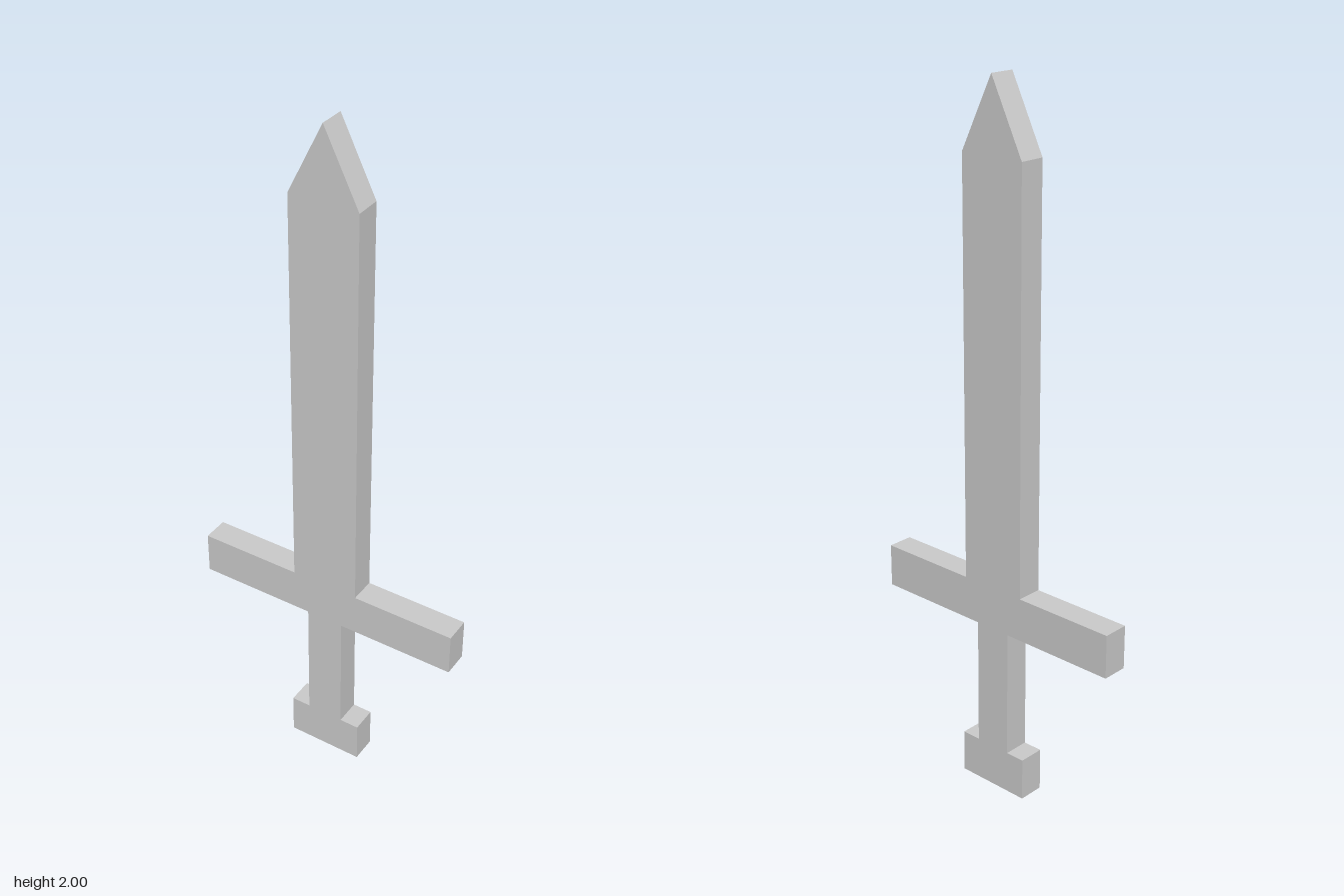
import * as THREE from 'three';

const DEPTH = 0.075;

// Right half of the silhouette, from the pommel's base up to the blade's shoulder
const HALF_OUTLINE = [
  [0.1125, 0], [0.1125, 0.125],   // pommel
  [0.055, 0.125], [0.055, 0.5],   // grip
  [0.4, 0.5], [0.4, 0.625],       // crossguard
  [0.1, 0.625], [0.1, 1.8],       // blade
];
const TIP = [0, 2];

export function createModel() {
  const model = new THREE.Group();
  model.name = 'sword';

  // Mirror the half outline about x = 0 and close it through the tip
  const mirrored = HALF_OUTLINE.map(([x, y]) => [-x, y]).reverse();
  const outline = [...HALF_OUTLINE, TIP, ...mirrored];
  const shape = new THREE.Shape(outline.map(([x, y]) => new THREE.Vector2(x, y)));

  // One flat slab, centred on its thickness
  const geometry = new THREE.ExtrudeGeometry(shape, { depth: DEPTH, bevelEnabled: false });
  geometry.translate(0, 0, -DEPTH / 2);

  const material = new THREE.MeshStandardMaterial({ color: 0xcccccc, flatShading: true });
  const body = new THREE.Mesh(geometry, material);
  body.name = 'bladeGuardGripAndPommel';
  model.add(body);
  return model;
}
